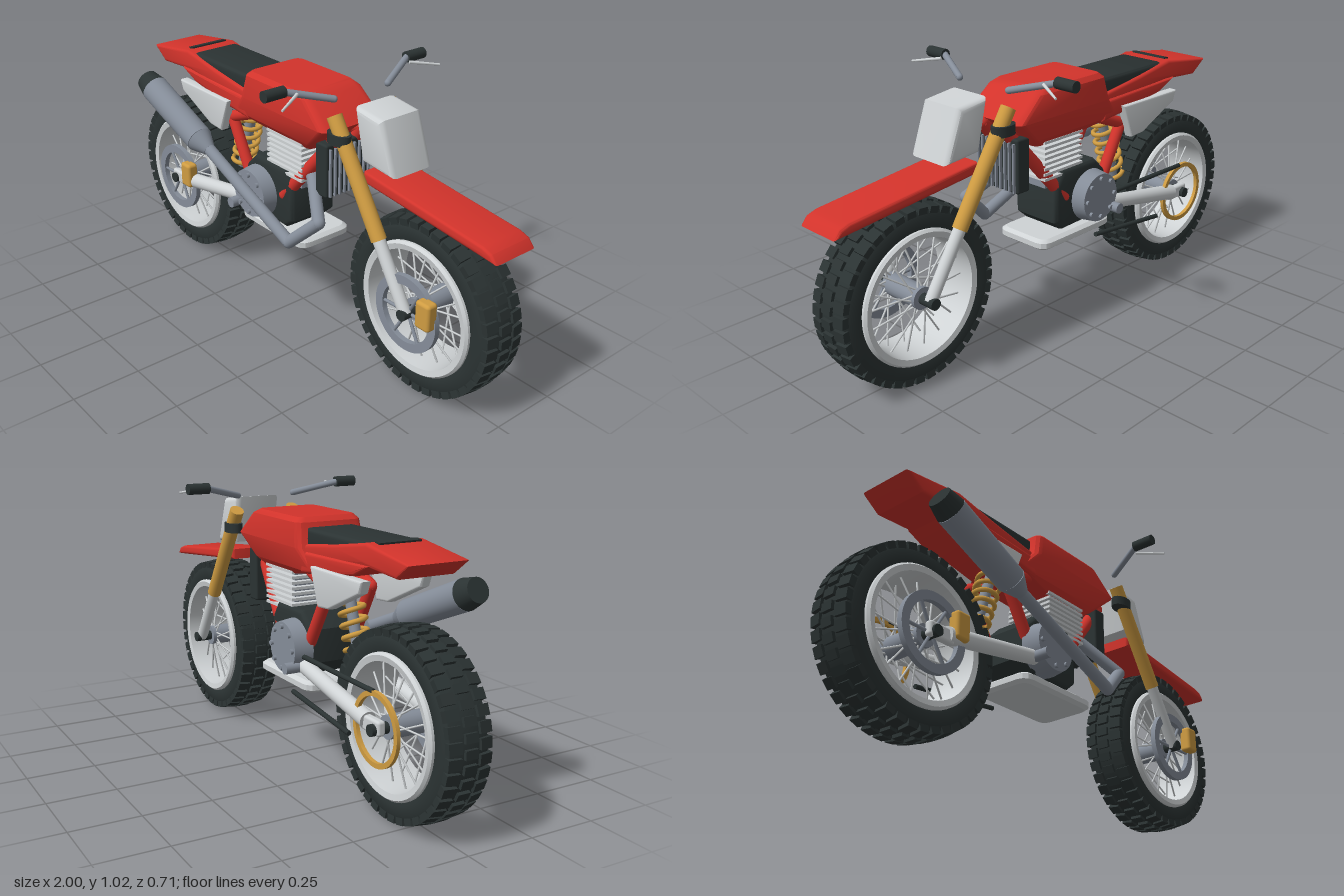
import * as THREE from 'three';
import { mergeGeometries, toCreasedNormals } from 'three/addons/utils/BufferGeometryUtils.js';
import { RoundedBoxGeometry } from 'three/addons/geometries/RoundedBoxGeometry.js';

const mat = (name, color) => Object.assign(new THREE.MeshStandardMaterial({ color }), { name });
const red = mat('red', 0xd2332b), dark = mat('dark', 0x2b3333), gold = mat('gold', 0xcf9c42);
const light = mat('lightGrey', 0xcfd3d5), steel = mat('steel', 0x858d99);
const V = (x, y, z) => new THREE.Vector3(x, y, z);

function mesh(parent, name, geo, material, x = 0, y = 0, z = 0) {
  const m = new THREE.Mesh(geo, material);
  m.name = name;
  m.position.set(x, y, z);
  parent.add(m);
  return m;
}

// Cylinder geometry running between two points
function rodGeo(a, b, r0, r1 = r0, sides = 20) {
  const d = b.clone().sub(a);
  const g = new THREE.CylinderGeometry(r1, r0, d.length(), sides);
  g.applyQuaternion(new THREE.Quaternion().setFromUnitVectors(V(0, 1, 0), d.normalize()));
  const c = a.clone().add(b).multiplyScalar(0.5);
  return g.translate(c.x, c.y, c.z);
}
const rod = (p, name, a, b, m, r0, r1, sides) => mesh(p, name, rodGeo(a, b, r0, r1, sides), m);

// Pipe with straight runs and round elbows
function pipe(p, name, pts, r, m) {
  const parts = [];
  for (let i = 0; i < pts.length - 1; i++) parts.push(rodGeo(pts[i], pts[i + 1], r));
  for (const q of pts) parts.push(new THREE.SphereGeometry(r, 16, 10).translate(q.x, q.y, q.z));
  return mesh(p, name, mergeGeometries(parts), m);
}

// Side profile extruded across the bike with bevelled edges
function slab(p, name, pts, half, bevel, m, z = 0) {
  const g = new THREE.ExtrudeGeometry(new THREE.Shape(pts.map(q => new THREE.Vector2(...q))), {
    depth: 2 * (half - bevel), bevelEnabled: true, bevelThickness: bevel,
    bevelSize: bevel, bevelOffset: -bevel, bevelSegments: 3 });
  g.translate(0, 0, bevel - half);
  return mesh(p, name, toCreasedNormals(g, 0.6), m, 0, 0, z);
}

// Stack of rounded rectangles [y, x0, x1, halfWidth, cornerRadius]
function loft(p, name, rows, m) {
  const pos = [], idx = [], N = 16;
  for (const [y, x0, x1, w, r] of rows) for (let i = 0; i < N; i++) {
    const c = Math.floor(i / 4), a = (c + (i % 4) / 3) * Math.PI / 2;
    const cx = c === 0 || c === 3 ? x1 - r : x0 + r, cz = c < 2 ? w - r : r - w;
    pos.push(cx + r * Math.cos(a), y, cz + r * Math.sin(a));
  }
  for (let k = 0; k < rows.length - 1; k++) for (let i = 0; i < N; i++) {
    const a = k * N + i, b = k * N + (i + 1) % N;
    idx.push(a, a + N, b, b, a + N, b + N);
  }
  const top = (rows.length - 1) * N;
  for (let i = 1; i < N - 1; i++) idx.push(0, i, i + 1, top, top + i + 1, top + i);
  const g = new THREE.BufferGeometry();
  g.setAttribute('position', new THREE.Float32BufferAttribute(pos, 3));
  g.setIndex(idx);
  return mesh(p, name, toCreasedNormals(g, 0.5), m);
}

// Closed ring spun about the z axis from [radius, axial] points
function ring(p, name, pts, m, z = 0) {
  const g = new THREE.LatheGeometry([...pts, pts[0]].map(q => new THREE.Vector2(...q)), 64);
  return mesh(p, name, toCreasedNormals(g.rotateX(Math.PI / 2), 0.6), m, 0, 0, z);
}
const flatRing = (r0, r1, t) => [[r0, -t], [r1, -t], [r1, t], [r0, t]];

function wheel(parent, name, x) {
  const w = new THREE.Group();
  w.name = name;
  w.position.set(x, 0.325, 0);
  parent.add(w);
  ring(w, 'tyre', [[0.225, -0.07], [0.25, -0.08], [0.285, -0.08], [0.303, -0.07], [0.311, -0.03],
    [0.311, 0.03], [0.303, 0.07], [0.285, 0.08], [0.25, 0.08], [0.225, 0.07]], dark);
  ring(w, 'rim', [[0.212, -0.09], [0.232, -0.094], [0.24, -0.085], [0.24, 0.085], [0.232, 0.094],
    [0.212, 0.09], [0.206, 0]], light);
  // Tread blocks
  const knobs = [], spokes = [];
  for (let i = 0; i < 40; i++) for (const k of [-1, 0, 1]) {
    const a = (i + 0.5 * Math.abs(k)) / 40 * Math.PI * 2;
    const g = new THREE.BoxGeometry(k ? 0.036 : 0.03, 0.04, 0.046);
    g.rotateX(k * 0.12).translate(0, k ? 0.297 : 0.302, k * 0.055);
    knobs.push(g.rotateZ(a));
  }
  mesh(w, 'treadBlocks', mergeGeometries(knobs), dark);
  // Crossed spokes on both sides of the hub
  for (let i = 0; i < 36; i++) {
    const a = i / 36 * Math.PI * 2, b = a + (i % 4 < 2 ? 0.45 : -0.45), s = i % 2 ? 1 : -1;
    spokes.push(rodGeo(V(0.035 * Math.cos(b), 0.035 * Math.sin(b), s * 0.07),
      V(0.212 * Math.cos(a), 0.212 * Math.sin(a), s * 0.03), 0.0035, 0.0035, 6));
  }
  mesh(w, 'spokes', mergeGeometries(spokes), light);
  rod(w, 'hub', V(0, 0, -0.085), V(0, 0, 0.085), steel, 0.04);
  rod(w, 'axle', V(0, 0, -0.15), V(0, 0, 0.145), dark, 0.02);
  // Brake disc, carrier arms and caliper
  ring(w, 'brakeDisc', flatRing(0.105, 0.137, 0.01), steel, 0.115);
  for (let i = 0; i < 6; i++) {
    const a = i / 6 * Math.PI * 2;
    rod(w, 'discArm', V(0, 0, 0.11), V(0.11 * Math.cos(a), 0.11 * Math.sin(a), 0.115), steel, 0.006, 0.006, 8);
  }
  mesh(w, 'caliper', new RoundedBoxGeometry(0.062, 0.1, 0.045, 3, 0.012), gold, 0.1, 0.05, 0.133);
  return w;
}

export function createModel() {
  const g = new THREE.Group();
  g.name = 'motorcycle';
  const rear = wheel(g, 'rearWheel', -0.678);
  wheel(g, 'frontWheel', 0.675);
  ring(rear, 'sprocket', flatRing(0.108, 0.125, 0.007), gold, -0.125);

  // Bodywork
  loft(g, 'tank', [[0.715, -0.06, 0.14, 0.085, 0.02], [0.75, -0.27, 0.18, 0.115, 0.02],
    [0.83, -0.205, 0.275, 0.138, 0.03], [0.915, -0.185, 0.175, 0.13, 0.03],
    [0.932, -0.165, 0.14, 0.115, 0.025]], red);
  slab(g, 'tail', [[-0.82, 0.865], [-0.58, 0.9], [-0.4, 0.87], [-0.18, 0.84], [-0.18, 0.78],
    [-0.56, 0.825], [-0.75, 0.812]], 0.112, 0.012, red);
  slab(g, 'underSeatFairing', [[-0.61, 0.83], [-0.18, 0.82], [-0.18, 0.74], [-0.3, 0.75], [-0.52, 0.785]], 0.12, 0.015, red);
  slab(g, 'seat', [[-0.58, 0.875], [-0.54, 0.898], [-0.19, 0.898], [-0.19, 0.83], [-0.5, 0.84]], 0.1, 0.015, dark);
  const strip = mesh(g, 'tailStrip', new THREE.BoxGeometry(0.025, 0.012, 0.16), dark, -0.6, 0.897, 0);
  strip.rotation.z = 0.14;
  slab(g, 'frontFender', [[0.42, 0.735], [0.94, 0.677], [0.975, 0.665], [0.997, 0.636], [0.9, 0.645],
    [0.42, 0.695]], 0.09, 0.01, red);
  slab(g, 'numberPlate', [[0.37, 0.948], [0.495, 0.933], [0.558, 0.752], [0.41, 0.765]], 0.093, 0.022, light);

  // Frame, forks, bars and swingarm, mirrored left and right
  const F = V(0.31, 0.905, 0), D = V(0.365, -0.58, 0);
  for (const s of [1, -1]) {
    const onFork = t => F.clone().addScaledVector(D, t).setZ(s * 0.122);
    slab(g, 'sidePanel', [[-0.6, 0.782], [-0.28, 0.782], [-0.33, 0.65], [-0.4, 0.655], [-0.585, 0.74]],
      0.02, 0.008, light, s * 0.118);
    rod(g, 'forkUpper', onFork(0), onFork(0.63), gold, 0.027);
    rod(g, 'forkLower', onFork(0.6), onFork(1), light, 0.022);
    const clamp = mesh(g, 'forkClamp', new THREE.CylinderGeometry(0.031, 0.031, 0.036, 24), dark, 0.338, 0.836, s * 0.125);
    clamp.scale.x = 1.6;
    pipe(g, 'handlebar', [V(0.305, 0.962, s * 0.12), V(0.235, 1.002, s * 0.275)], 0.012, steel);
    rod(g, 'grip', V(0.235, 1.003, s * 0.272), V(0.235, 1.003, s * 0.355), dark, 0.02);
    rod(g, 'lever', V(0.275, 1.0, s * 0.25), V(0.325, 0.983, s * 0.35), light, 0.006, 0.004, 10);
    pipe(g, 'frameDownTube', [V(0.27, 0.81, s * 0.05), V(0.0, 0.49, s * 0.085)], 0.024, red);
    pipe(g, 'frameRearTube', [V(-0.14, 0.77, s * 0.08), V(-0.32, 0.7, s * 0.085), V(-0.2, 0.49, s * 0.09)], 0.022, red);
    pipe(g, 'frameTopTube', [V(0.27, 0.81, s * 0.05), V(0.1, 0.76, s * 0.07)], 0.024, red);
    rod(g, 'swingarm', V(-0.19, 0.415, s * 0.115), V(-0.62, 0.337, s * 0.118), light, 0.027, 0.03);
    mesh(g, 'axleBlock', new RoundedBoxGeometry(0.11, 0.052, 0.03, 2, 0.01), light, -0.65, 0.332, s * 0.12);
    // Round engine cover with a circle of bolts
    rod(g, 'engineCover', V(-0.125, 0.468, s * 0.09), V(-0.125, 0.468, s * 0.16), steel, 0.102, 0.092, 40);
    for (let i = 0; i < 8; i++) {
      const a = i / 8 * Math.PI * 2, x = -0.125 + 0.075 * Math.cos(a), y = 0.468 + 0.075 * Math.sin(a);
      rod(g, 'coverBolt', V(x, y, s * 0.155), V(x, y, s * 0.17), steel, 0.009, 0.009, 10);
    }
    rod(g, 'pivotCap', V(-0.2, 0.41, s * 0.1), V(-0.2, 0.41, s * 0.193), steel, 0.02);
  }

  // Engine, cooling fins, radiator and sump guard
  slab(g, 'crankcase', [[-0.22, 0.42], [-0.17, 0.37], [0.02, 0.365], [0.06, 0.4], [0.06, 0.54], [0.02, 0.6],
    [-0.16, 0.6], [-0.22, 0.54]], 0.105, 0.02, dark);
  mesh(g, 'cylinderBarrel', new THREE.BoxGeometry(0.15, 0.2, 0.15), steel, 0.01, 0.64, 0);
  for (let i = 0; i < 8; i++)
    mesh(g, 'coolingFin', new THREE.BoxGeometry(0.2, 0.01, 0.2), light, 0.012, 0.585 + i * 0.02, 0);
  mesh(g, 'radiator', new RoundedBoxGeometry(0.06, 0.2, 0.205, 2, 0.008), dark, 0.22, 0.67, 0);
  for (let i = -4; i <= 4; i++)
    mesh(g, 'radiatorFin', new THREE.BoxGeometry(0.014, 0.18, 0.007), steel, 0.253, 0.665, i * 0.022);
  loft(g, 'sumpGuard', [[0.314, -0.225, 0.125, 0.105, 0.03], [0.325, -0.24, 0.14, 0.12, 0.04],
    [0.345, -0.24, 0.14, 0.12, 0.04], [0.356, -0.225, 0.125, 0.105, 0.03]], light);

  // Exhaust on the left of the bike
  pipe(g, 'exhaustPipe', [V(-0.4, 0.605, 0.185), V(0.145, 0.385, 0.185), V(0.268, 0.5, 0.15),
    V(0.14, 0.605, 0.07), V(0.05, 0.62, 0.03)], 0.023, steel);
  rod(g, 'mufflerCone', V(-0.4, 0.605, 0.19), V(-0.34, 0.58, 0.186), steel, 0.053, 0.024, 32);
  rod(g, 'muffler', V(-0.7, 0.728, 0.195), V(-0.4, 0.605, 0.19), steel, 0.055, 0.053, 32);
  rod(g, 'mufflerTip', V(-0.755, 0.752, 0.197), V(-0.7, 0.728, 0.195), dark, 0.043, 0.055, 32);

  // Rear shock with coil spring
  const top = V(-0.3, 0.73, 0), bottom = V(-0.385, 0.45, 0), coil = [];
  for (let i = 0; i <= 84; i++) {
    const a = i / 12 * Math.PI * 2, c = top.clone().lerp(bottom, i / 84);
    coil.push(c.add(V(0.043 * Math.cos(a), -0.012 * Math.cos(a), 0.043 * Math.sin(a))));
  }
  mesh(g, 'shockSpring', new THREE.TubeGeometry(new THREE.CatmullRomCurve3(coil), 168, 0.009, 8), gold);
  rod(g, 'shockBody', top, bottom, steel, 0.02);

  // Drive chain runs
  for (const [a, b] of [[V(-0.14, 0.302, -0.125), V(-0.52, 0.262, -0.125)],
    [V(-0.17, 0.45, -0.125), V(-0.66, 0.445, -0.125)]])
    rod(g, 'chainRun', a, b, dark, 0.009, 0.009, 8);
  return g;
}
